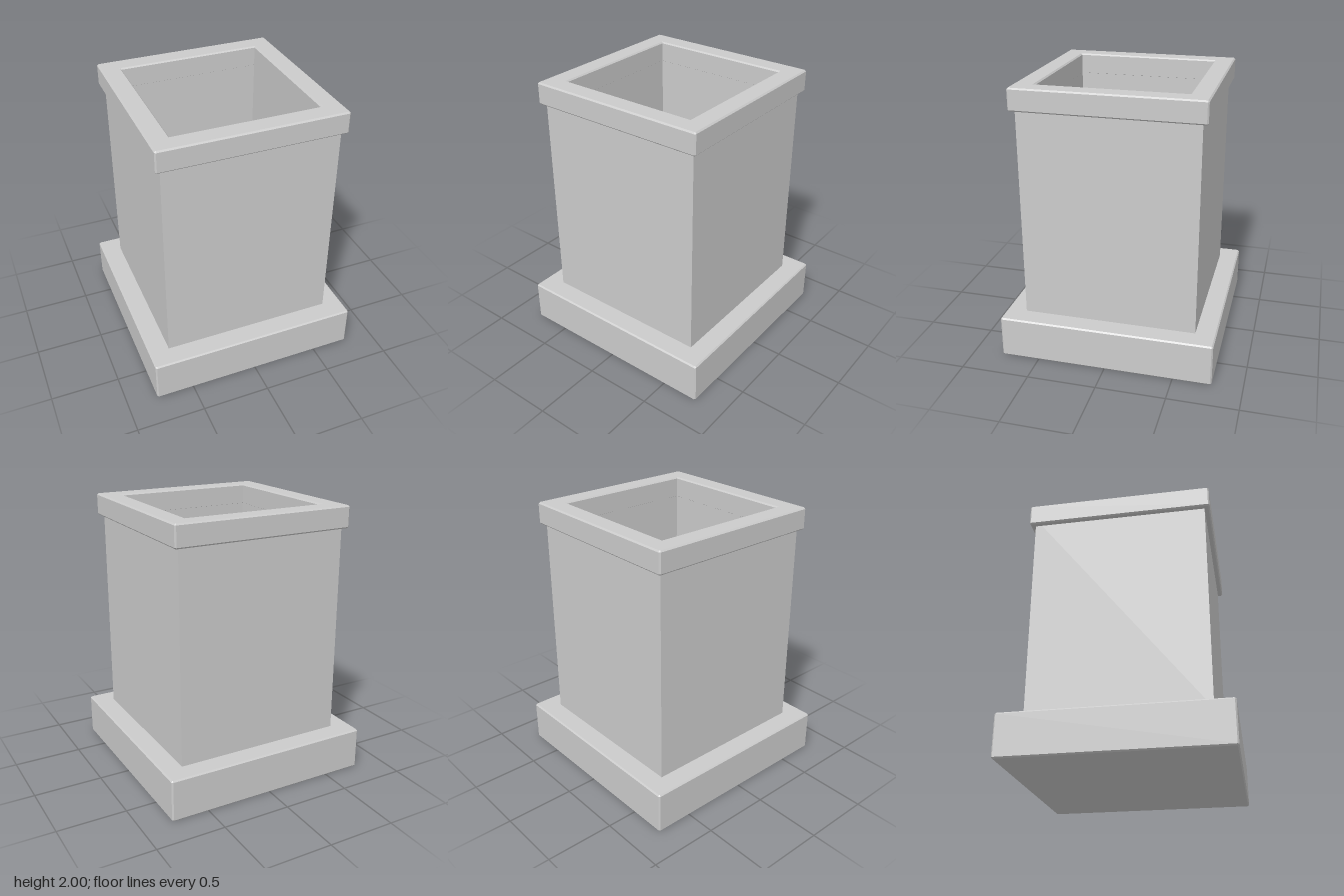
import * as THREE from 'three';

const material = new THREE.MeshStandardMaterial({ color: 0xcccccc });

// Square outline with slightly cut corners
function trace(path, half, cut) {
  const a = half, b = half - cut;
  const corners = cut > 0
    ? [[a, -b], [a, b], [b, a], [-b, a], [-a, b], [-a, -b], [-b, -a], [b, -a]]
    : [[a, -a], [a, a], [-a, a], [-a, -a]];
  path.setFromPoints(corners.map(([x, y]) => new THREE.Vector2(x, y)));
  path.closePath();
  return path;
}

// Upright square block from y0 to y1, with optional bevelled edges and square opening
function squareBlock(name, half, y0, y1, { bevel = 0, opening = 0 } = {}) {
  const shape = trace(new THREE.Shape(), half, bevel);
  if (opening) shape.holes.push(trace(new THREE.Path(), opening, 0));
  const geometry = new THREE.ExtrudeGeometry(shape, {
    depth: y1 - y0 - 2 * bevel,
    bevelEnabled: bevel > 0,
    bevelThickness: bevel,
    bevelSize: bevel,
    bevelOffset: -bevel,
    bevelSegments: 1,
  });
  geometry.rotateX(-Math.PI / 2);
  geometry.translate(0, y0 + bevel, 0);
  const mesh = new THREE.Mesh(geometry, material);
  mesh.name = name;
  return mesh;
}

export function createModel() {
  const group = new THREE.Group();
  group.name = 'squarePlanter';
  group.add(
    // Solid plinth, which also closes the bottom of the hollow body
    squareBlock('base', 0.78, 0, 0.31, { bevel: 0.01 }),
    // Hollow walls, running up inside the rim
    squareBlock('body', 0.632, 0.3, 1.9, { opening: 0.526 }),
    // Overhanging rim framing the opening
    squareBlock('rim', 0.67, 1.84, 2, { bevel: 0.01, opening: 0.525 }),
  );
  return group;
}
